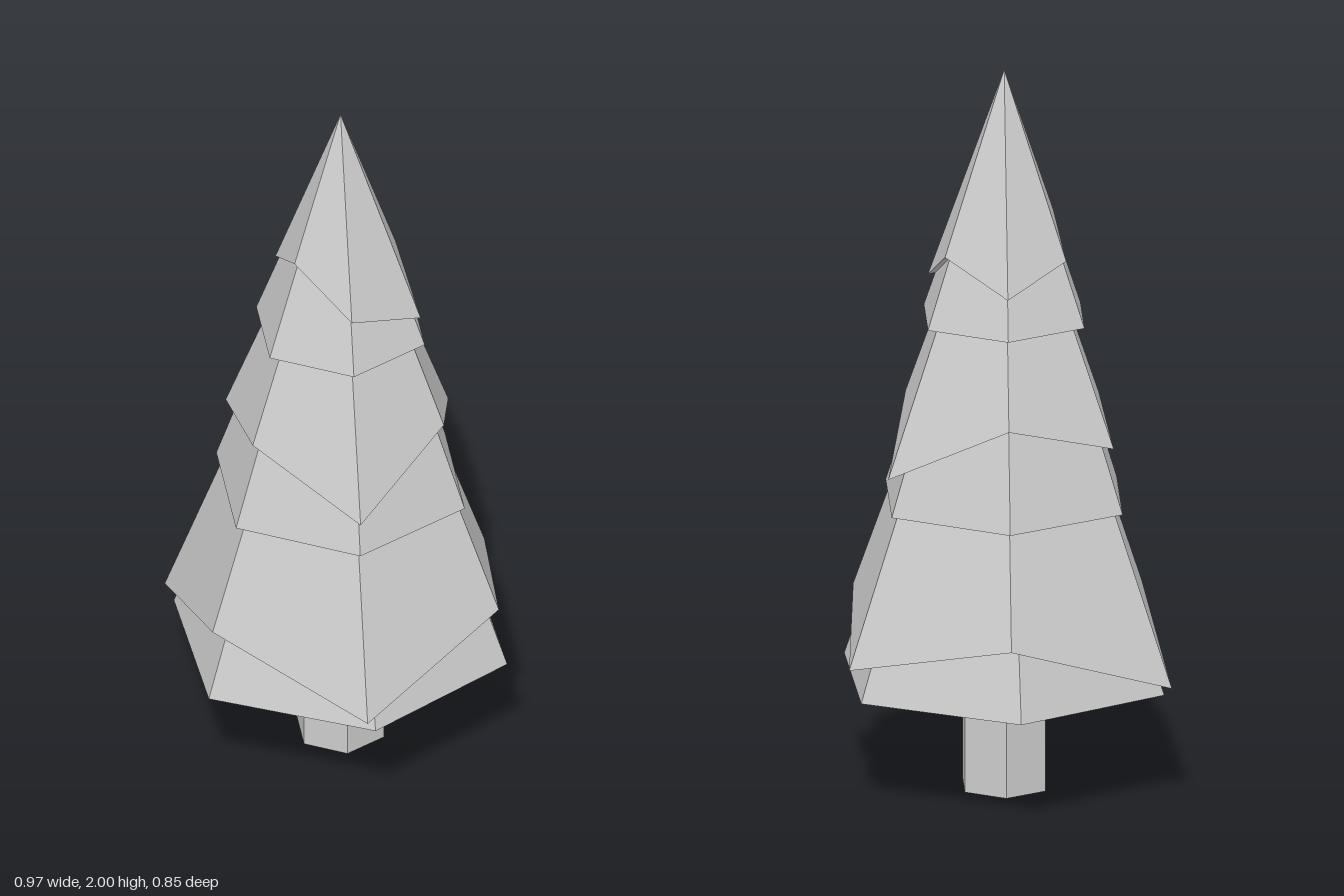
import * as THREE from 'three';

const SIDES = 6;
const CENTRE_X = 0.015;

// Closed six-sided cone whose rim corners may each have their own [radius, height].
// Corners run from +x towards +z.
function tierGeometry(rim, apexY, twist = 0) {
  const apex = [0, apexY, 0];
  const meanY = rim.reduce((sum, [, y]) => sum + y, 0) / SIDES;
  const centre = [0, meanY, 0];
  const corners = rim.map(([r, y], i) => {
    const a = (i / SIDES) * Math.PI * 2 + twist;
    return [r * Math.cos(a), y, r * Math.sin(a)];
  });
  const positions = [];
  corners.forEach((corner, i) => {
    const next = corners[(i + 1) % SIDES];
    positions.push(...apex, ...next, ...corner); // sloping side
    positions.push(...centre, ...corner, ...next); // underside
  });
  const geometry = new THREE.BufferGeometry();
  geometry.setAttribute('position', new THREE.Float32BufferAttribute(positions, 3));
  geometry.computeVertexNormals();
  return geometry;
}

const level = (r, y) => Array.from({ length: SIDES }, () => [r, y]);

export function createModel() {
  const tree = new THREE.Group();
  tree.name = 'pineTree';
  const material = new THREE.MeshStandardMaterial({ color: 0xcccccc, flatShading: true });

  const add = (name, geometry, y = 0) => {
    const mesh = new THREE.Mesh(geometry, material);
    mesh.name = name;
    mesh.position.set(CENTRE_X, y, 0);
    tree.add(mesh);
  };

  // Trunk, with a corner on the x axis
  const trunk = new THREE.CylinderGeometry(0.125, 0.125, 0.33, SIDES);
  trunk.rotateY(Math.PI / 2);
  add('trunk', trunk, 0.165);

  // Foliage: level tiers alternate with uneven, drooping ones
  const tiers = [
    { rim: level(0.47, 0.31), apex: 1.65, twist: -0.052 },
    {
      rim: [[0.455, 0.5], [0.49, 0.35], [0.437, 0.5], [0.505, 0.34], [0.43, 0.5], [0.492, 0.4]],
      apex: 1.7,
    },
    { rim: level(0.357, 0.805), apex: 1.85 },
    {
      rim: [[0.297, 1.062], [0.363, 0.91], [0.3, 1.05], [0.33, 0.985], [0.28, 1.07], [0.368, 0.913]],
      apex: 1.85,
    },
    { rim: level(0.242, 1.31), apex: 1.97 },
    {
      rim: [[0.23, 1.395], [0.205, 1.46], [0.157, 1.58], [0.187, 1.49], [0.218, 1.42], [0.188, 1.505]],
      apex: 2,
    },
  ];
  tiers.forEach(({ rim, apex, twist }, i) => {
    add(`foliageTier${i + 1}`, tierGeometry(rim, apex, twist));
  });

  return tree;
}
